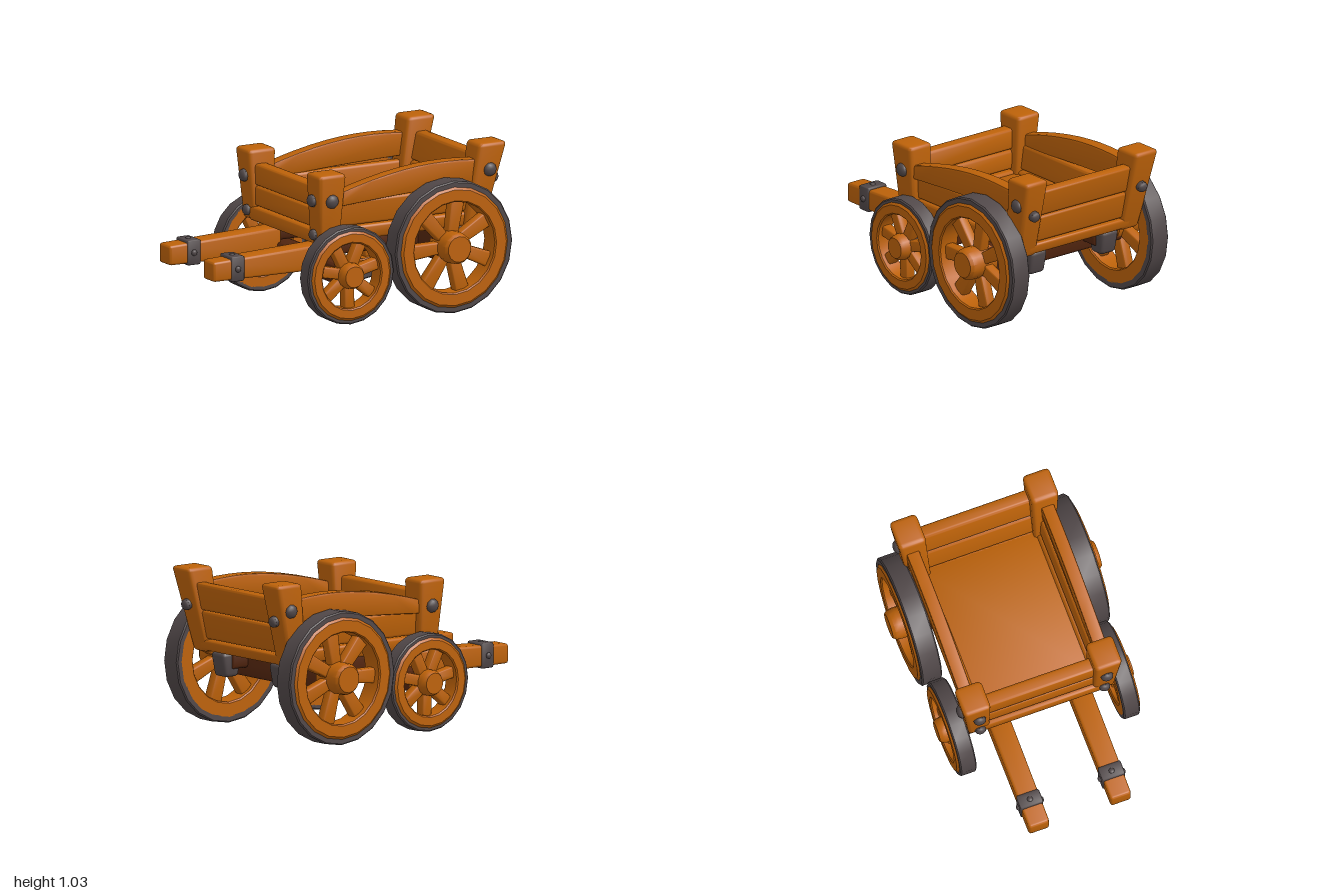
import * as THREE from 'three';
import { mergeVertices, toCreasedNormals } from 'three/addons/utils/BufferGeometryUtils.js';
import { RoundedBoxGeometry } from 'three/addons/geometries/RoundedBoxGeometry.js';

const flat = (name, color) => Object.assign(new THREE.MeshStandardMaterial({ color }), { name });

export function createModel() {
  const wood = flat('wood', 0xbd6209);
  const darkWood = flat('dark wood', 0x54260f);
  const iron = flat('iron', 0x514849);
  const cart = new THREE.Group();
  cart.name = 'cart';

  const add = (parent, name, geo, mat) => {
    const mesh = new THREE.Mesh(geo, mat);
    mesh.name = name;
    parent.add(mesh);
    return mesh;
  };

  // Rounded, tapered beam between two cross-sections [x, y, z, width, depth]
  const beamGeo = (a, b, r = 0.018) => {
    const h = b[1] - a[1], w = (a[3] + b[3]) / 2, d = (a[4] + b[4]) / 2;
    const geo = new RoundedBoxGeometry(w, h, d, 2, r);
    const p = geo.attributes.position;
    for (let i = 0; i < p.count; i++) {
      const t = p.getY(i) / h + 0.5, mix = (k) => a[k] + (b[k] - a[k]) * t;
      p.setXYZ(i, mix(0) + p.getX(i) / w * mix(3), mix(1), mix(2) + p.getZ(i) / d * mix(4));
    }
    geo.deleteAttribute('normal');
    geo.deleteAttribute('uv');
    return toCreasedNormals(mergeVertices(geo, 1e-4), 0.9);
  };
  const box = (parent, name, mat, x0, x1, y0, y1, z0, z1, r = 0.018) => {
    const c = [(x0 + x1) / 2, (z0 + z1) / 2, x1 - x0, z1 - z0];
    return add(parent, name, beamGeo([c[0], y0, c[1], c[2], c[3]], [c[0], y1, c[1], c[2], c[3]], r), mat);
  };

  // Turned ring or disc: profile of [radius, z], revolved around z
  const turned = (profile, sides) => toCreasedNormals(
    new THREE.LatheGeometry(profile.map(([r, z]) => new THREE.Vector2(r, z)), sides).rotateX(Math.PI / 2), 0.6);

  // Domed bolt head pointing along dir
  const bolt = (parent, x, y, z, dir, r = 0.04) => {
    const geo = new THREE.SphereGeometry(r, 10, 6, 0, Math.PI * 2, 0, Math.PI / 2).scale(1, 0.7, 1);
    const skirt = new THREE.CylinderGeometry(r, r, 0.04, 10).translate(0, -0.02, 0);
    const group = new THREE.Group();
    group.name = 'bolt';
    add(group, 'boltHead', geo, iron);
    add(group, 'boltShank', skirt, iron);
    group.position.set(x, y, z);
    group.quaternion.setFromUnitVectors(new THREE.Vector3(0, 1, 0), new THREE.Vector3(...dir).normalize());
    parent.add(group);
  };

  // Wheel with iron tyre, wooden rim, spokes and hub; outer side faces +z
  const wheel = (name, R, tyre, rim, width, hubR, hubZ, phase) => {
    const g = new THREE.Group(), w = width / 2, ri = R - tyre, b = 0.008;
    g.name = name;
    add(g, 'tyre', turned([[ri, -w], [R - b, -w], [R, -w + b], [R, w - b], [R - b, w], [ri, w], [ri, -w]], 20), iron);
    const f = w + 0.012, rr = ri - rim;
    add(g, 'rim', turned([[rr, -w + b], [rr + b, -w], [ri + 0.005, -w], [ri + 0.005, w],
      [ri - 0.01, f], [rr + b, f], [rr, f - b], [rr, -w + b]], 20), wood);
    for (let i = 0; i < 7; i++) {
      const spoke = add(g, 'spoke', beamGeo([0, 0.03, 0, 0.07, 0.07], [0, rr + 0.02, 0, R * 0.24, 0.065], 0.012), wood);
      spoke.rotation.z = phase + i * Math.PI * 2 / 7;
    }
    add(g, 'hub', turned([[0, -w], [hubR, -w], [hubR, hubZ * 0.6], [hubR * 0.95, hubZ - 0.02],
      [hubR * 0.8, hubZ], [0, hubZ]], 14), wood);
    return g;
  };

  // Floor, dark below
  box(cart, 'floor', wood, -0.26, 0.8, 0.53, 0.57, -0.41, 0.41);
  box(cart, 'floorUnderside', darkWood, -0.25, 0.79, 0.5, 0.535, -0.4, 0.4, 0.01);

  // Axles
  box(cart, 'frontAxle', darkWood, -0.23, -0.09, 0.25, 0.38, -0.53, 0.53);
  box(cart, 'rearAxle', darkWood, 0.47, 0.64, 0.33, 0.51, -0.53, 0.53);

  // End walls: stacked boards, the rear one leaning out
  [[0.5, 0.57, 0.12], [0.575, 0.755, 0.085], [0.76, 0.935, 0.085]].forEach(([y0, y1, t]) => {
    const x = (y) => 0.8 + (y - 0.5) * 0.22;
    add(cart, 'rearBoard', beamGeo([x(y0), y0, 0, t, 0.8], [x(y1), y1, 0, t, 0.84]), wood);
  });
  [[0.5, 0.59, 0.13], [0.595, 0.72, 0.09], [0.725, 0.86, 0.09]].forEach(([y0, y1, t]) =>
    box(cart, 'frontBoard', wood, -0.26 - t / 2, -0.26 + t / 2, y0, y1, -0.39, 0.39));

  // Arched top plank of the side walls
  const arch = new THREE.Shape();
  arch.moveTo(-0.22, 0.73);
  arch.quadraticCurveTo(0.35, 0.775, 0.87, 0.78);
  arch.lineTo(0.87, 0.92);
  arch.bezierCurveTo(0.55, 0.96, 0.25, 0.95, -0.22, 0.81);
  const archGeo = toCreasedNormals(new THREE.ExtrudeGeometry(arch,
    { depth: 0.06, bevelThickness: 0.012, bevelSize: 0.012, bevelOffset: -0.012, bevelSegments: 2, curveSegments: 10 }), 0.7);

  for (const s of [1, -1]) {
    // Corner posts
    add(cart, 'frontPost', beamGeo([-0.245, 0.5, s * 0.41, 0.14, 0.14], [-0.25, 0.95, s * 0.435, 0.2, 0.18], 0.025), wood);
    add(cart, 'rearPost', beamGeo([0.79, 0.49, s * 0.41, 0.13, 0.14], [0.9, 1.03, s * 0.44, 0.2, 0.18], 0.025), wood);
    bolt(cart, -0.25, 0.78, s * 0.508, [0, 0, s], 0.045);
    bolt(cart, 0.88, 0.86, s * 0.512, [0, 0, s], 0.045);
    bolt(cart, -0.345, 0.78, s * 0.42, [-1, 0, 0]);
    bolt(cart, -0.33, 0.56, s * 0.41, [-1, 0, 0], 0.035);
    bolt(cart, 0.957, 0.79, s * 0.43, [1, -0.22, 0], 0.035);

    // Side walls
    add(cart, 'sidePlankLow', beamGeo([0.26, 0.5, s * 0.4, 1.02, 0.09], [0.28, 0.59, s * 0.405, 1.06, 0.09]), wood);
    add(cart, 'sidePlankMiddle', beamGeo([0.28, 0.595, s * 0.41, 1.04, 0.065], [0.3, 0.755, s * 0.425, 1.1, 0.065]), wood);
    const top = add(cart, 'sidePlankTop', archGeo, wood);
    top.position.z = s * 0.445 - 0.03;

    // Pull shafts running back under the floor, with iron bands and end caps
    const z = s * 0.27;
    add(cart, 'shaft', beamGeo([-0.38, -1, z, 0.125, 0.135], [-0.395, -0.2, z, 0.165, 0.14]).rotateZ(-Math.PI / 2), wood);
    box(cart, 'shaftUnderFloor', darkWood, -0.24, 0.76, 0.39, 0.505, z - 0.06, z + 0.06);
    box(cart, 'shaftBand', iron, -0.875, -0.78, 0.305, 0.465, z - 0.075, z + 0.075, 0.012);
    bolt(cart, -0.83, 0.385, z + 0.077, [0, 0, 1], 0.02);
    bolt(cart, -0.83, 0.385, z - 0.077, [0, 0, -1], 0.02);
    bolt(cart, -0.83, 0.46, z, [0, 1, 0], 0.02);
    add(cart, 'shaftEndCap', beamGeo([0.75, 0.34, s * 0.285, 0.1, 0.12], [0.75, 0.495, s * 0.285, 0.16, 0.135], 0.025), iron);

    // Wheels, turned so the hub faces outward
    const front = wheel('frontWheel', 0.309, 0.03, 0.07, 0.108, 0.083, 0.1, s * -0.43);
    const rear = wheel('rearWheel', 0.42, 0.042, 0.088, 0.134, 0.102, 0.135, s * -0.17);
    front.position.set(-0.163, 0.315, s * 0.54);
    rear.position.set(0.56, 0.42, s * 0.555);
    if (s < 0) front.rotation.y = rear.rotation.y = Math.PI;
    cart.add(front, rear);
  }
  return cart;
}
